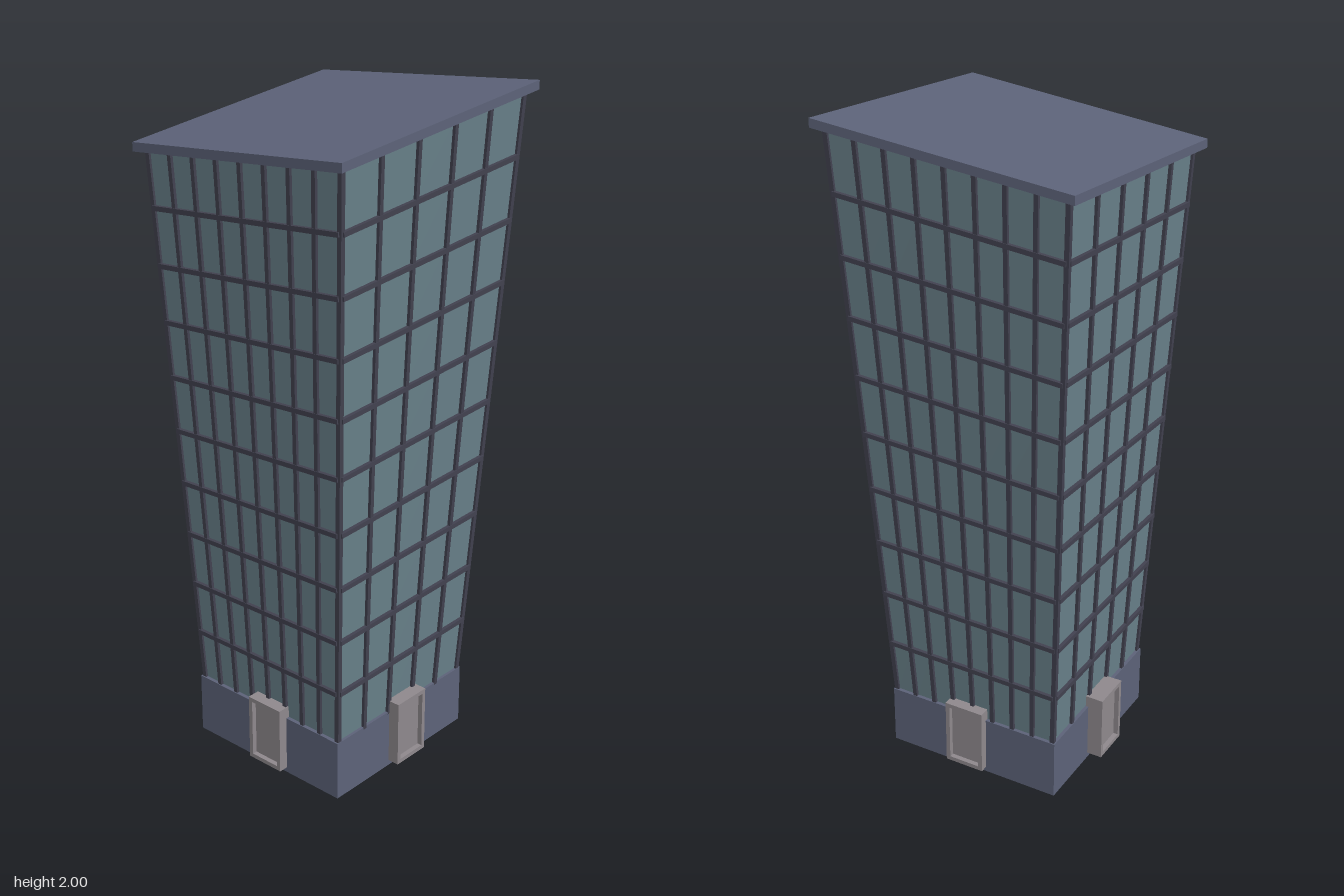
import * as THREE from 'three';

const V = (x, y, z) => new THREE.Vector3(x, y, z);
const paint = (color) => new THREE.MeshStandardMaterial({ color, flatShading: true });

// Corner order of every ring: back left-hand, back right-hand, front right-hand, front left-hand
const ring = (x0, x1, z0, z1, y) => [V(x0, y, z0), V(x1, y, z0), V(x1, y, z1), V(x0, y, z1)];

// Point between two rings; u, v, t run from 0 to 1 along x, z and y
function blend(bottom, top, u, t, v) {
  const at = (r) => r[0].clone().lerp(r[1], u).lerp(r[3].clone().lerp(r[2], u), v);
  return at(bottom).lerp(at(top), t);
}

// Box whose vertices are moved to fill the space between two rings
function block(name, bottom, top, material, segs = [1, 1, 1]) {
  const geo = new THREE.BoxGeometry(1, 1, 1, ...segs);
  const pos = geo.attributes.position;
  for (let i = 0; i < pos.count; i++) {
    const p = blend(bottom, top, pos.getX(i) + 0.5, pos.getY(i) + 0.5, pos.getZ(i) + 0.5);
    pos.setXYZ(i, p.x, p.y, p.z);
  }
  geo.computeVertexNormals();
  const mesh = new THREE.Mesh(geo, material);
  mesh.name = name;
  return mesh;
}

// Straight bar from a to b, with its depth along the outward direction
function bar(name, a, b, outward, width, depth, material) {
  const along = b.clone().sub(a);
  const length = along.length();
  along.normalize();
  const side = along.clone().cross(outward).normalize();
  const out = side.clone().cross(along);
  const mesh = new THREE.Mesh(new THREE.BoxGeometry(width, length, depth), material);
  mesh.quaternion.setFromRotationMatrix(new THREE.Matrix4().makeBasis(side, along, out));
  mesh.position.copy(a).add(b).multiplyScalar(0.5);
  mesh.name = name;
  return mesh;
}

// Doorway facing +z: raised frame around a recessed door
function doorway(material) {
  const g = new THREE.Group();
  const w = 0.062, h = 0.207, t = 0.013;
  const frame = new THREE.Shape([[-w, 0], [w, 0], [w, h], [-w, h]].map((p) => new THREE.Vector2(...p)));
  frame.holes.push(new THREE.Path(
    [[t - w, t], [t - w, h - t], [w - t, h - t], [w - t, t]].map((p) => new THREE.Vector2(...p))));
  const f = new THREE.Mesh(
    new THREE.ExtrudeGeometry(frame, { depth: 0.055, bevelEnabled: false }), material);
  f.position.z = -0.02;
  f.name = 'doorFrame';
  const d = new THREE.Mesh(new THREE.BoxGeometry(2 * w - t, h - t, 0.04), material);
  d.position.set(0, h / 2, 0);
  d.name = 'door';
  g.add(f, d);
  return g;
}

export function createModel() {
  const model = new THREE.Group();
  const stone = paint(0x5c6278), glass = paint(0x688089);
  const metal = paint(0x41414f), doorPaint = paint(0x8e888c);

  // Plinth
  model.add(block('base', ring(-0.297, 0.268, -0.287, 0.27, 0), ring(-0.297, 0.268, -0.287, 0.27, 0.187), stone));

  // Slanted roof slab
  const roofTop = [V(-0.388, 1.848, -0.385), V(0.363, 1.921, -0.375), V(0.388, 2, 0.383), V(-0.383, 1.925, 0.36)];
  const roofBottom = roofTop.map((p) => V(p.x, p.y - 0.026, p.z));
  model.add(block('roof', roofBottom, roofTop, stone));

  // Glass tower widening upward to meet the roof
  const low = ring(-0.285, 0.257, -0.276, 0.261, 0.18);
  const high = roofTop.map((p) => V(p.x * 0.923, p.y - 0.022 - (p.x + p.z) * 0.007, p.z * 0.923));
  const columns = 5, sideColumns = 8, floors = 10;
  model.add(block('glassTower', low, high, glass, [columns, floors, sideColumns]));

  // Grid of mullions and floor bands on the four faces
  const faces = [
    { name: 'front', n: columns, out: V(0, 0, 1), at: (u, t) => blend(low, high, u, t, 1) },
    { name: 'back', n: columns, out: V(0, 0, -1), at: (u, t) => blend(low, high, u, t, 0) },
    { name: 'left', n: sideColumns, out: V(1, 0, 0), at: (u, t) => blend(low, high, 1, t, u) },
    { name: 'right', n: sideColumns, out: V(-1, 0, 0), at: (u, t) => blend(low, high, 0, t, u) },
  ];
  for (const { name, n, out, at } of faces) {
    const g = new THREE.Group();
    g.name = name + 'Grid';
    for (let i = 1; i < n; i++) g.add(bar('mullion', at(i / n, 0), at(i / n, 1), out, 0.013, 0.018, metal));
    for (let k = 1; k < floors; k++) {
      g.add(bar('floorBand', at(0, k / floors), at(1, k / floors), out, 0.014, 0.022, metal));
    }
    model.add(g);
  }

  // Corner posts
  low.forEach((p, i) => model.add(bar('cornerPost', p, high[i], V(0, 0, 1), 0.014, 0.014, metal)));

  // One doorway in the middle of each side
  const doors = [
    ['frontDoor', -0.006, 0.27, 0], ['backDoor', -0.006, -0.299, Math.PI],
    ['leftDoor', 0.258, 0.007, Math.PI / 2], ['rightDoor', -0.291, 0.007, -Math.PI / 2],
  ];
  for (const [name, x, z, turn] of doors) {
    const d = doorway(doorPaint);
    d.name = name;
    d.position.set(x, 0.016, z);
    d.rotation.y = turn;
    model.add(d);
  }
  return model;
}
